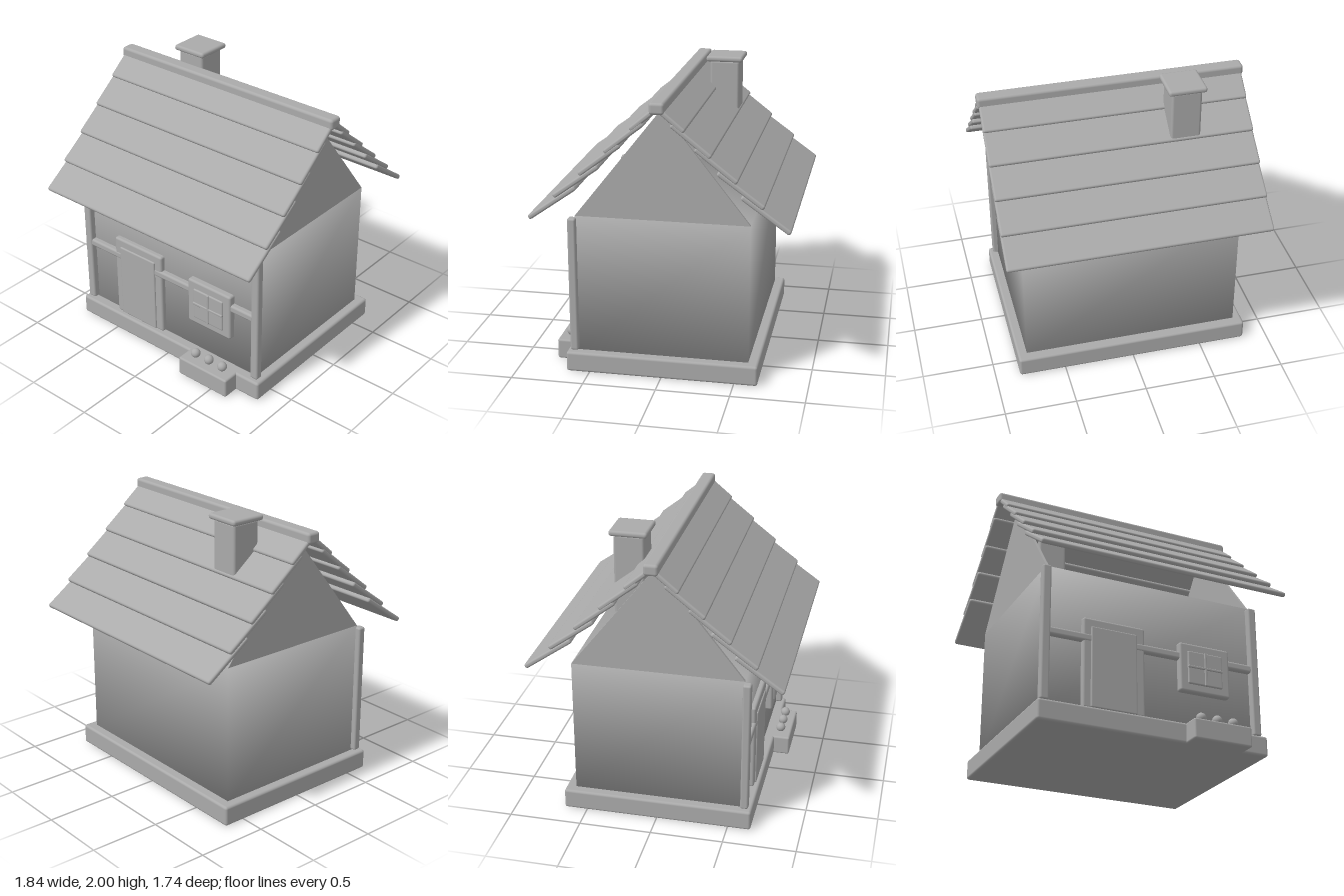
import * as THREE from 'three';
import { mergeVertices } from 'three/addons/utils/BufferGeometryUtils.js';
import { RoundedBoxGeometry } from 'three/addons/geometries/RoundedBoxGeometry.js';

export function createModel() {
  const house = new THREE.Group();
  house.name = 'cottage';
  const grey = new THREE.MeshStandardMaterial({ color: 0xaaaaaa });
  grey.name = 'plain grey';

  function add(name, geometry, parent = house) {
    const mesh = new THREE.Mesh(geometry, grey);
    mesh.name = name;
    parent.add(mesh);
    return mesh;
  }

  // Soft-edged block given by its limits on each axis
  function block(name, [x0, x1], [y0, y1], [z0, z1], radius = 0.012) {
    const mesh = add(name, new RoundedBoxGeometry(x1 - x0, y1 - y0, z1 - z0, 2, radius));
    mesh.position.set((x0 + x1) / 2, (y0 + y1) / 2, (z0 + z1) / 2);
    return mesh;
  }

  // Base and walls; the walls share corner normals for soft shading
  block('base', [-0.83, 0.83], [0, 0.142], [-0.66, 0.66], 0.018);
  let wallBox = new THREE.BoxGeometry(1.53, 0.98, 1.18);
  wallBox.deleteAttribute('normal');
  wallBox.deleteAttribute('uv');
  wallBox = mergeVertices(wallBox);
  wallBox.computeVertexNormals();
  add('walls', wallBox).position.y = 0.62;

  // Gable sheets closing both ends of the open attic
  const triangle = new THREE.Shape([
    new THREE.Vector2(-0.59, 1.11), new THREE.Vector2(0.59, 1.11), new THREE.Vector2(0, 1.86),
  ]);
  for (const side of [-1, 1]) {
    const geometry = new THREE.ExtrudeGeometry(triangle, { depth: 0.02, bevelEnabled: false });
    geometry.translate(0, 0, -0.01).rotateY(Math.PI / 2);
    add('gable', geometry).position.x = side * 0.755;
  }

  // Overlapping roof boards: lower and upper end of each as [z, y]
  const boards = [
    [[0.865, 1.12], [0.545, 1.345]],
    [[0.692, 1.277], [0.39, 1.495]],
    [[0.518, 1.435], [0.245, 1.645]],
    [[0.347, 1.592], [0.09, 1.795]],
    [[0.175, 1.75], [0.0, 1.895]],
  ];
  for (const side of [-1, 1]) {
    const slope = new THREE.Group();
    slope.name = side > 0 ? 'frontRoof' : 'backRoof';
    slope.rotation.y = side > 0 ? 0 : Math.PI;
    for (const [[z0, y0], [z1, y1]] of boards) {
      const length = Math.hypot(z1 - z0, y1 - y0);
      const board = add('roofBoard', new RoundedBoxGeometry(1.82, 0.034, length, 2, 0.014), slope);
      board.position.set(0, (y0 + y1) / 2 + 0.004, (z0 + z1) / 2);
      board.rotation.x = Math.atan2(y1 - y0, z0 - z1);
    }
    house.add(slope);
  }
  block('ridgeBeam', [-0.92, 0.92], [1.86, 1.938], [-0.05, 0.05], 0.02);

  // Chimney
  block('chimney', [-0.535, -0.325], [1.39, 1.965], [-0.345, -0.135], 0.018);
  block('chimneyCap', [-0.562, -0.298], [1.96, 2], [-0.37, -0.11], 0.018);

  // Front timber
  for (const side of [-1, 1]) {
    block('cornerPost', [side * 0.772 - 0.031, side * 0.772 + 0.031], [0.148, 1.098], [0.58, 0.636], 0.014);
  }
  block('crossBeam', [-0.76, 0.76], [0.605, 0.66], [0.575, 0.63], 0.016);

  // Door
  block('doorFrame', [-0.51, -0.065], [0.142, 0.775], [0.57, 0.626], 0.016);
  block('door', [-0.455, -0.125], [0.148, 0.715], [0.58, 0.636], 0.01);

  // Window
  block('windowFrame', [0.19, 0.567], [0.378, 0.728], [0.58, 0.638], 0.016);
  block('windowPane', [0.247, 0.507], [0.433, 0.67], [0.6, 0.648], 0.01);
  block('windowUpright', [0.37, 0.387], [0.433, 0.67], [0.61, 0.656], 0.005);
  block('windowCrossbar', [0.247, 0.507], [0.547, 0.564], [0.61, 0.656], 0.005);

  // Flower box with three round blooms
  block('flowerBox', [0.212, 0.64], [0, 0.142], [0.61, 0.774], 0.014);
  for (const x of [0.305, 0.425, 0.545]) {
    add('flower', new THREE.SphereGeometry(0.034, 20, 14)).position.set(x, 0.178, 0.695);
  }

  return house;
}
